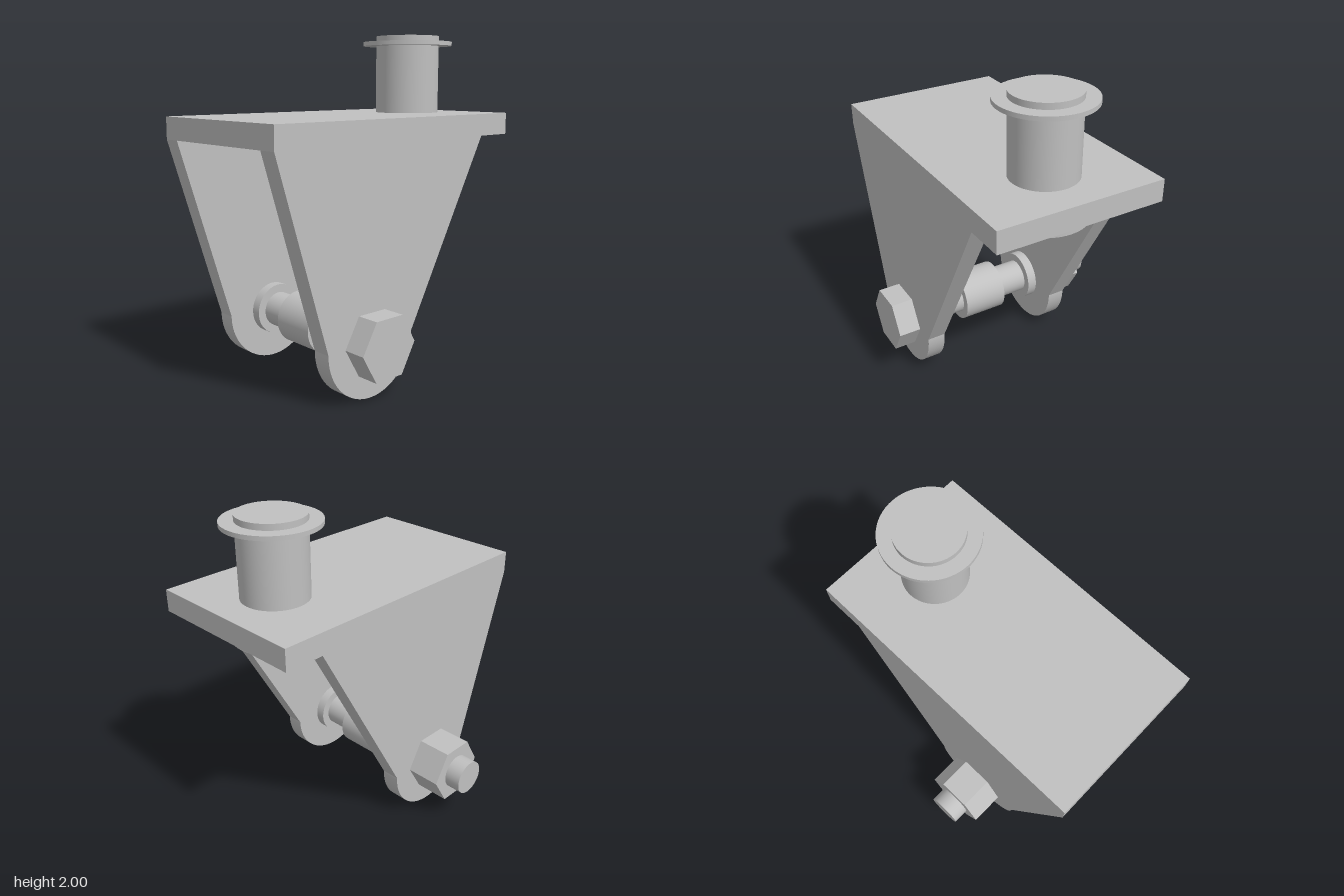
import * as THREE from 'three';

export function createModel() {
  const group = new THREE.Group();
  const steel = new THREE.MeshStandardMaterial({ color: 0xc0c0c0 });
  steel.name = 'plain steel';

  const add = (name, geometry, x, y, z) => {
    const mesh = new THREE.Mesh(geometry, steel);
    mesh.name = name;
    mesh.position.set(x, y, z);
    group.add(mesh);
    return mesh;
  };

  // Top plate
  const zMid = 0.09;
  add('topPlate', new THREE.BoxGeometry(1.8, 0.13, 1), 0, 1.465, zMid);

  // Tapered side plates with a rounded lower end
  const axisX = -0.25, axisY = 0.317, lobe = 0.315;
  const side = new THREE.Shape();
  side.moveTo(0.66, 1.4);
  side.lineTo(-0.9, 1.4);
  side.lineTo(axisX - lobe, axisY);
  side.absarc(axisX, axisY, lobe, Math.PI, Math.PI * 2, false);
  side.closePath();
  const plate = new THREE.ExtrudeGeometry(side, { depth: 0.11, bevelEnabled: false, curveSegments: 48 });
  add('frontSidePlate', plate, 0, 0, 0.48);
  add('backSidePlate', plate, 0, 0, -0.41);

  // Upright pivot pin: [name, radius, bottom, top]
  const pin = [
    ['pinHead', 0.26, 1.3, 1.4],
    ['pinShaft', 0.195, 1.53, 2],
    ['retainingRing', 0.275, 1.94, 1.965],
  ];
  for (const [name, r, y0, y1] of pin) {
    add(name, new THREE.CylinderGeometry(r, r, y1 - y0, 64), 0.535, (y0 + y1) / 2, zMid);
  }

  // Parts along the cross bolt: [name, radius, back z, front z]
  const round = [
    ['boltShaft', 0.105, -0.72, 0.6],
    ['centreSleeve', 0.156, -0.05, 0.23],
    ['frontSpacer', 0.156, 0.42, 0.48],
    ['backSpacer', 0.156, -0.3, -0.24],
  ];
  for (const [name, r, z0, z1] of round) {
    const geometry = new THREE.CylinderGeometry(r, r, z1 - z0, 48).rotateX(Math.PI / 2);
    add(name, geometry, axisX, axisY, (z0 + z1) / 2);
  }

  // Hexagonal bolt head and nut, corners pointing sideways
  for (const [name, z0, z1] of [['boltHead', 0.59, 0.725], ['nut', -0.62, -0.41]]) {
    const geometry = new THREE.CylinderGeometry(0.195, 0.195, z1 - z0, 6, 1, false, Math.PI / 2)
      .rotateX(Math.PI / 2).toNonIndexed();
    geometry.computeVertexNormals();
    add(name, geometry, axisX, axisY, (z0 + z1) / 2);
  }

  return group;
}
